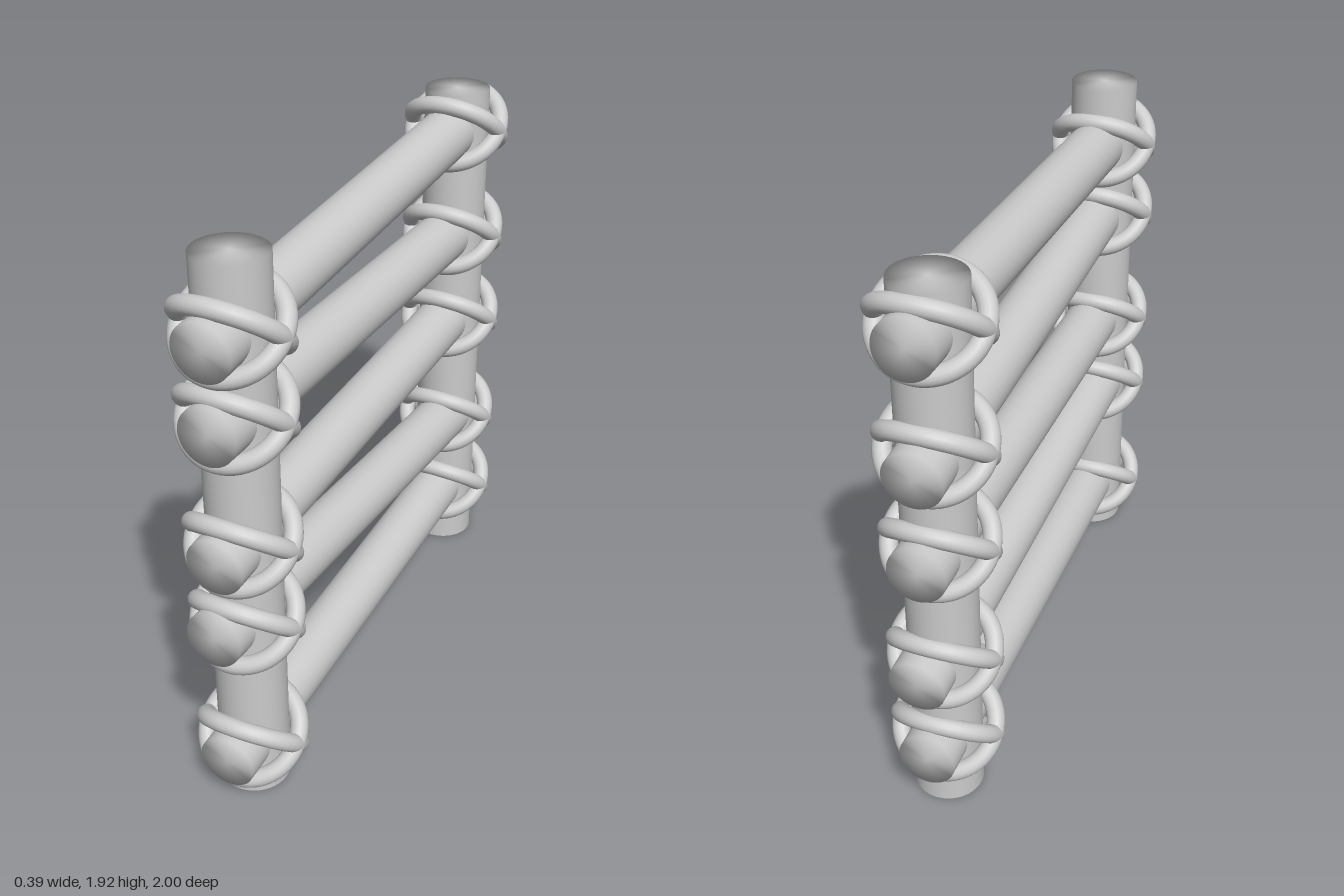
import * as THREE from 'three';

const material = new THREE.MeshStandardMaterial({ color: 0xcccccc });
const POST_Z = 0.815;
const POST_HEIGHT = 1.92;

// Round pole along y whose end caps share the soft side normals at the rim
function poleGeometry(radius, length) {
  const geometry = new THREE.CylinderGeometry(radius, radius, length, 40);
  const { position, normal } = geometry.attributes;
  for (let i = 0; i < position.count; i++) {
    const x = position.getX(i), z = position.getZ(i);
    const r = Math.hypot(x, z);
    if (r > 1e-4) normal.setXYZ(i, x / r, 0, z / r);
  }
  return geometry;
}

function addMesh(parent, geometry, name) {
  const mesh = new THREE.Mesh(geometry, material);
  mesh.name = name;
  parent.add(mesh);
  return mesh;
}

export function createModel() {
  const model = new THREE.Group();
  model.name = 'lashedLadder';

  // Two upright posts
  const postGeometry = poleGeometry(0.118, POST_HEIGHT);
  for (const side of [1, -1]) {
    const post = addMesh(model, postGeometry, side > 0 ? 'frontPost' : 'backPost');
    post.position.set(0, POST_HEIGHT / 2, side * POST_Z);
  }

  // Rungs: height at the front post, height at the back post, sideways skew
  const rungs = [
    [0.18, 0.235, 0],
    [0.667, 0.568, -0.018],
    [0.967, 1.01, 0],
    [1.413, 1.363, 0.003],
    [1.692, 1.774, 0],
  ];
  const rungGeometry = poleGeometry(0.097, 1.99);
  const ropeGeometry = new THREE.TorusGeometry(0.165, 0.031, 16, 56);
  const up = new THREE.Vector3(0, 1, 0);

  rungs.forEach(([frontY, backY, skew], i) => {
    const front = new THREE.Vector3(skew, frontY, POST_Z);
    const back = new THREE.Vector3(-skew, backY, -POST_Z);
    const rung = addMesh(model, rungGeometry, `rung${i + 1}`);
    rung.position.addVectors(front, back).multiplyScalar(0.5);
    rung.quaternion.setFromUnitVectors(up, front.clone().sub(back).normalize());

    // Crossed rope loops binding each end of the rung to its post
    for (const [y, z, end] of [[frontY, 0.824, 'front'], [backY, -0.81, 'back']]) {
      const lashing = new THREE.Group();
      lashing.name = `${end}Lashing${i + 1}`;
      lashing.position.set(0, y + (end === 'back' ? 0.005 : 0), z);
      for (const tilt of [1, -1]) {
        const loop = addMesh(lashing, ropeGeometry, 'ropeLoop');
        loop.rotation.x = Math.PI / 2 + tilt * THREE.MathUtils.degToRad(41);
      }
      model.add(lashing);
    }
  });

  return model;
}
